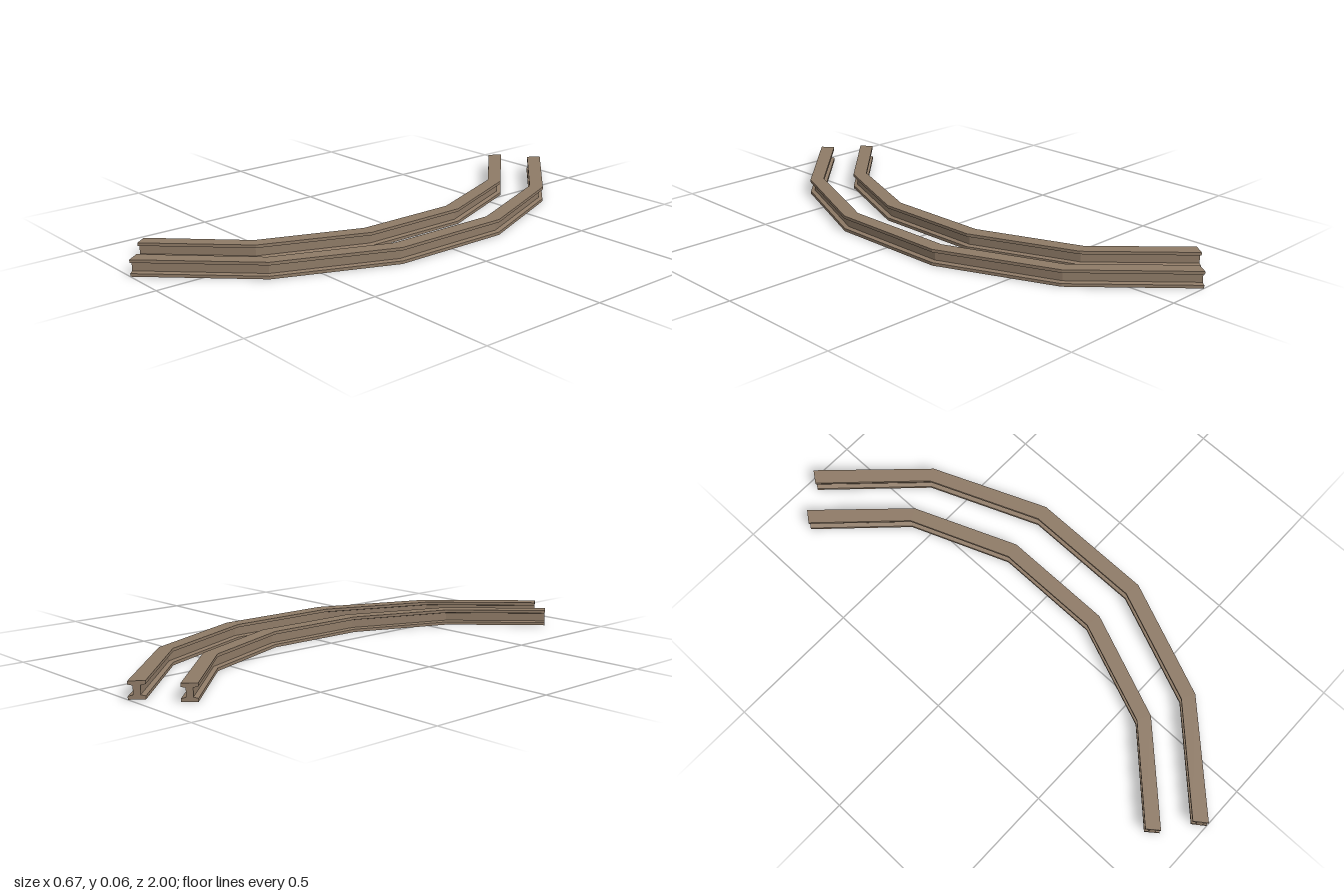
import * as THREE from 'three';

// I-beam cross-section: [fraction from inner to outer edge, height], counter-clockwise
const half = [[0.5, 0], [1, 0], [1, 0.011], [0.71, 0.015], [0.71, 0.045], [1, 0.049], [1, 0.06]];
const profile = [
  ...half.slice(1),
  ...half.slice(1).reverse().map(([u, y]) => [1 - u, y]),
];

// Half of each rail, back end to middle: [inner x, inner z, outer x, outer z]
const outerPath = [
  [-0.2, -0.955, -0.167, -1],
  [0.109, -0.638, 0.156, -0.664],
  [0.277, -0.224, 0.333, -0.235],
];
const innerPath = [
  [-0.333, -0.852, -0.3, -0.895],
  [-0.061, -0.574, -0.014, -0.599],
  [0.086, -0.2, 0.142, -0.211],
];

function sweepRail(path) {
  // mirror the half path in z
  const stations = [...path, ...path.map(([a, b, c, d]) => [a, -b, c, -d]).reverse()];
  const n = profile.length;
  const positions = [];
  const index = [];
  for (const [ix, iz, ox, oz] of stations) {
    for (const [u, y] of profile) {
      positions.push(ix + (ox - ix) * u, y, iz + (oz - iz) * u);
    }
  }
  // long faces
  for (let i = 0; i < stations.length - 1; i++) {
    for (let j = 0; j < n; j++) {
      const a = i * n + j;
      const b = i * n + (j + 1) % n;
      index.push(a, b, b + n, a, b + n, a + n);
    }
  }
  // end caps
  const last = (stations.length - 1) * n;
  const contour = profile.map(([u, y]) => new THREE.Vector2(u, y));
  for (const [a, b, c] of THREE.ShapeUtils.triangulateShape(contour, [])) {
    index.push(a, c, b, last + a, last + b, last + c);
  }
  const indexed = new THREE.BufferGeometry();
  indexed.setAttribute('position', new THREE.Float32BufferAttribute(positions, 3));
  indexed.setIndex(index);
  const geometry = indexed.toNonIndexed();
  geometry.computeVertexNormals();
  return geometry;
}

export function createModel() {
  const group = new THREE.Group();
  group.name = 'curvedTrack';
  const material = new THREE.MeshStandardMaterial({ color: 0x8f7b67, flatShading: true });
  material.name = 'brownMetal';

  for (const [name, path] of [['outerRail', outerPath], ['innerRail', innerPath]]) {
    const rail = new THREE.Mesh(sweepRail(path), material);
    rail.name = name;
    group.add(rail);
  }
  return group;
}
